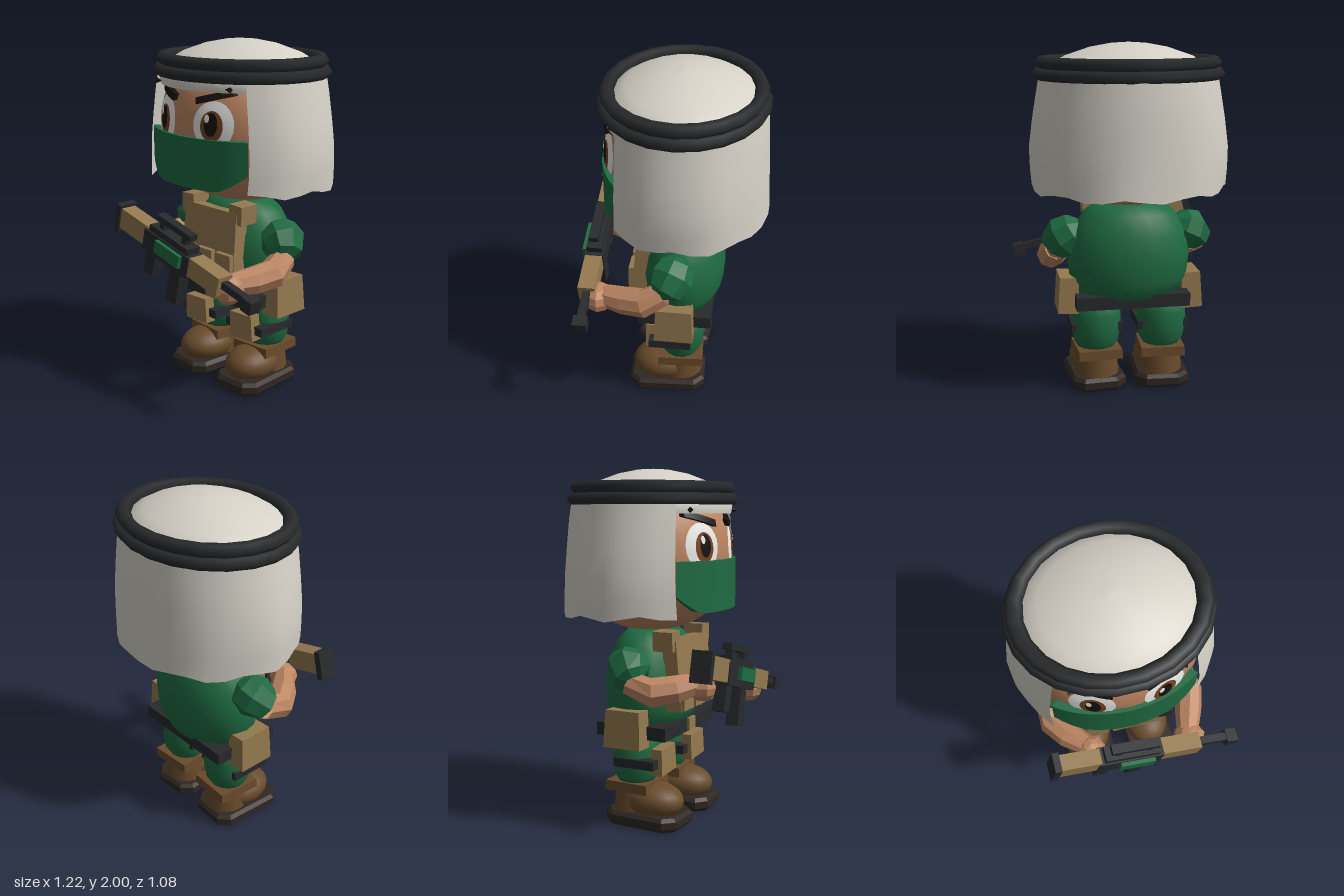
import * as THREE from 'three';
import { toCreasedNormals } from 'three/addons/utils/BufferGeometryUtils.js';

const COL = { cloth: 0xd6d2c8, skin: 0xbd8663, green: 0x1f6b42, dark: 0x27292b, tan: 0x94794f, boot: 0x694b2b, sole: 0x2f2722, white: 0xeeeeea, iris: 0x7a4422, black: 0x15110f };
const CX = -0.045, CZ = -0.05; // centre line of the figure

function mesh(parent, name, geo, color, flat = false, double = false) {
  const material = new THREE.MeshStandardMaterial({ color, flatShading: flat });
  if (double) material.side = THREE.DoubleSide;
  const m = new THREE.Mesh(geo, material);
  m.name = name;
  parent.add(m);
  return m;
}

// Box whose top is scaled by taper
function box(parent, name, color, [w, h, d], [x, y, z], taper = 1) {
  const g = new THREE.BoxGeometry(w, h, d), p = g.attributes.position;
  for (let i = 0; i < p.count; i++) if (p.getY(i) > 0) { p.setX(i, p.getX(i) * taper); p.setZ(i, p.getZ(i) * taper); }
  const m = mesh(parent, name, g, color, true);
  m.position.set(x, y, z);
  return m;
}

function ball(parent, name, color, [rx, ry, rz], [x, y, z], flat = false) {
  const m = mesh(parent, name, new THREE.SphereGeometry(1, flat ? 8 : 20, flat ? 6 : 14), color, flat);
  m.scale.set(rx, ry, rz);
  m.position.set(x, y, z);
  return m;
}

function lathe(parent, name, color, pts, sides, zScale, [x, y, z]) {
  const curve = pts.map(p => new THREE.Vector2(p[0], p[1]));
  const m = mesh(parent, name, new THREE.LatheGeometry(curve, sides), color, false, true);
  m.scale.z = zScale;
  m.position.set(x, y, z);
  return m;
}

// Faceted limb through points [x, y, z, radius]
function limb(parent, name, color, nodes) {
  const path = new THREE.CatmullRomCurve3(nodes.map(n => new THREE.Vector3(n[0], n[1], n[2])));
  const segs = nodes.length - 1, sides = 8;
  const g = new THREE.TubeGeometry(path, segs, 1, sides), p = g.attributes.position, v = new THREE.Vector3();
  for (let i = 0; i < p.count; i++) {
    const k = Math.floor(i / (sides + 1)), c = path.getPointAt(k / segs);
    v.fromBufferAttribute(p, i).sub(c).multiplyScalar(nodes[k][3]).add(c);
    p.setXYZ(i, v.x, v.y, v.z);
  }
  return mesh(parent, name, g, color, true, true);
}

// Open sheet from a function (u, row) -> [x, y, z], with sharp folds kept
function sheet(parent, name, color, nu, nv, f) {
  const g = new THREE.PlaneGeometry(1, 1, nu, nv), p = g.attributes.position;
  for (let i = 0; i < p.count; i++) p.setXYZ(i, ...f(p.getX(i) + 0.5, Math.round((0.5 - p.getY(i)) * nv)));
  return mesh(parent, name, toCreasedNormals(g, 0.8), color, false, true);
}

// Head: rounded profile swept round an ellipse
const HEAD = { y: 1.52, rx: 0.5, ry: 0.43, rz: 0.43 };
const headProfile = t => Math.pow(Math.max(0, 1 - Math.pow(Math.abs(t), 2.3)), 1 / 2.3);
function faceZ(x, y) {
  const r = headProfile((y - HEAD.y) / HEAD.ry), s = (x - CX) / HEAD.rx;
  return CZ + HEAD.rz * Math.sqrt(Math.max(0, r * r - s * s));
}
function onFace(parent, name, color, geo, off) {
  const p = geo.attributes.position;
  for (let i = 0; i < p.count; i++) p.setZ(i, p.getZ(i) + faceZ(p.getX(i), p.getY(i)) + off);
  geo.computeVertexNormals();
  return mesh(parent, name, geo, color, false, true);
}
const oval = (x, y, rx, ry) => new THREE.RingGeometry(0, 1, 24, 4).scale(rx, ry, 1).translate(x, y, 0);

function buildHead(root) {
  const g = new THREE.Group(); g.name = 'head'; root.add(g);
  const pts = [];
  for (let i = 0; i <= 20; i++) {
    const t = -Math.cos(i / 20 * Math.PI);
    pts.push([HEAD.rx * headProfile(t), HEAD.ry * t]);
  }
  lathe(g, 'skull', COL.skin, pts, 28, HEAD.rz / HEAD.rx, [CX, HEAD.y, CZ]);

  for (const s of [-1, 1]) {
    const x = CX + s * 0.19;
    onFace(g, 'eyeWhite', COL.white, oval(x, 1.575, 0.115, 0.128), 0.006);
    onFace(g, 'iris', COL.iris, oval(x, 1.57, 0.064, 0.083), 0.011);
    onFace(g, 'pupil', COL.black, oval(x, 1.58, 0.038, 0.063), 0.015);
    onFace(g, 'eyeGlint', COL.white, oval(x - 0.02, 1.612, 0.014, 0.022), 0.019);
    const brow = new THREE.BoxGeometry(0.2, 0.036, 0.03, 6, 1, 1);
    brow.rotateZ(s * 0.26).translate(CX + s * 0.185, 1.725, 0);
    onFace(g, 'eyebrow', COL.black, brow, 0.012);
    const mark = mesh(g, 'bandMark', new THREE.ConeGeometry(0.016, 0.045, 4), COL.black, true);
    mark.position.set(CX + s * 0.28, 1.77, 0.318);
    mark.rotation.z = s * Math.PI / 2;
  }

  // Face scarf with its edges turned in towards the face
  sheet(g, 'faceScarf', COL.green, 16, 3, (u, v) => {
    const a = (u - 0.5) * 1.5, k = v === 0 || v === 3 ? 0.84 : 1;
    const low = 1.22 + 0.1 * Math.pow(Math.max(0, Math.abs(u - 0.5) * 2 - 0.55) / 0.45, 1.3);
    return [CX + 0.575 * k * Math.sin(a), v < 2 ? 1.5 : low, CZ + 0.45 * k * Math.cos(a)];
  });

  // Headcloth: crown, hanging drape, double cord
  lathe(g, 'clothCrown', COL.cloth, [[0.492, 1.75], [0.5, 1.8], [0.46, 1.87], [0.36, 1.925], [0.22, 1.972], [0.1, 1.994], [0, 2]], 24, 0.88, [CX, 0, CZ]);
  const rows = [[1.84, 0.5, 0.445], [1.72, 0.522, 0.46], [1.57, 0.548, 0.468], [1.42, 0.568, 0.476], [1.3, 0.566, 0.482], [1.2, 0.558, 0.488]];
  sheet(g, 'clothDrape', COL.cloth, 24, 5, (u, v) => {
    const a = 0.8 + u * (2 * Math.PI - 1.6), [y, rx, rz] = rows[v];
    const fold = 1 + 0.012 * (v / 5) * Math.sin(a * 7);
    const hem = v === 5 ? 0.014 * Math.sin(a * 9) + 0.015 * Math.cos(a) : 0;
    return [CX + rx * fold * Math.sin(a), y + hem, CZ + rz * fold * Math.cos(a)];
  });
  for (const [y, r] of [[1.83, 0.498], [1.892, 0.478]]) {
    const ring = new THREE.TorusGeometry(r, 0.046, 6, 22).rotateX(Math.PI / 2).scale(1, 0.78, 0.865);
    mesh(g, 'headCord', ring, COL.dark).position.set(CX, y, CZ);
  }
}

function buildBody(root) {
  const g = new THREE.Group(); g.name = 'body'; root.add(g);
  lathe(g, 'torso', COL.green, [[0, 0.48], [0.18, 0.5], [0.29, 0.56], [0.345, 0.66], [0.36, 0.8], [0.335, 0.93], [0.27, 1.04], [0.19, 1.1], [0, 1.13]], 20, 0.7, [CX, 0, CZ]);
  box(g, 'chestPlate', COL.tan, [0.45, 0.4, 0.09], [CX, 0.86, 0.17], 0.94).rotation.x = -0.1;
  for (const s of [-1, 1]) {
    const strap = box(g, 'shoulderStrap', COL.tan, [0.1, 0.11, 0.12], [CX + s * 0.2, 1.055, 0.13]);
    strap.rotation.z = -s * 0.05;
    const hip = box(g, 'hipPouch', COL.tan, [0.12, 0.21, 0.225], [CX + s * 0.36, 0.575, -0.037], 0.92);
    hip.rotation.z = s * 0.04;
  }
  for (const s of [-1, 0, 1]) box(g, 'chestPouch', COL.tan, [0.13, 0.16, 0.07], [CX + s * 0.155, 0.75, 0.215], 0.94);
  box(g, 'belt', COL.dark, [0.655, 0.075, 0.43], [CX, 0.55, -0.03]);
  box(g, 'buckle', COL.tan, [0.085, 0.07, 0.02], [CX, 0.555, 0.19]);
}

function buildLeg(root, s) {
  const g = new THREE.Group(); g.name = s > 0 ? 'leftLeg' : 'rightLeg';
  g.position.x = CX + s * 0.195;
  root.add(g);
  lathe(g, 'trouserLeg', COL.green, [[0, 0.22], [0.1, 0.23], [0.132, 0.28], [0.146, 0.36], [0.145, 0.45], [0.125, 0.55], [0, 0.58]], 14, 0.94, [0, 0, -0.06]);
  box(g, 'kneeStrap', COL.dark, [0.3, 0.05, 0.25], [0, 0.37, -0.005]);
  const pad = box(g, 'kneePad', COL.tan, [0.185, 0.15, 0.07], [0, 0.38, 0.11], 0.93);
  pad.rotation.z = 0.05;

  // Boot, toes turned slightly out
  const boot = new THREE.Group(); boot.name = 'boot'; boot.rotation.y = s * 0.06; g.add(boot);
  box(boot, 'bootCuff', COL.boot, [0.26, 0.055, 0.27], [0, 0.22, -0.06], 0.98);
  const shaft = mesh(boot, 'bootShaft', new THREE.CylinderGeometry(0.115, 0.13, 0.16, 14), COL.boot);
  shaft.position.set(0, 0.14, -0.065);
  ball(boot, 'bootToe', COL.boot, [0.143, 0.105, 0.18], [0, 0.135, 0.05]);
  const w = 0.14, f = 0.21, c = 0.05;
  const outline = new THREE.Shape([[-w, -f + c], [-w + c, -f], [w - c, -f], [w, -f + c], [w, f - c], [w - c, f], [-w + c, f], [-w, f - c]].map(p => new THREE.Vector2(...p)));
  const sole = new THREE.ExtrudeGeometry(outline, { depth: 0.04, bevelEnabled: true, bevelThickness: 0.02, bevelSize: 0.018, bevelSegments: 1 });
  sole.rotateX(-Math.PI / 2).translate(0, 0.02, 0.02);
  mesh(boot, 'sole', sole, COL.sole, true);
}

function buildArms(root) {
  const g = new THREE.Group(); g.name = 'arms'; root.add(g);
  limb(g, 'leftSleeve', COL.green, [[0.2, 0.98, -0.05, 0.01], [0.26, 0.94, -0.04, 0.11], [0.34, 0.88, -0.01, 0.13], [0.385, 0.82, 0.03, 0.1], [0.38, 0.79, 0.06, 0.01]]);
  limb(g, 'leftForearm', COL.skin, [[0.37, 0.82, 0.02, 0.07], [0.39, 0.76, 0.12, 0.085], [0.36, 0.74, 0.24, 0.08], [0.32, 0.735, 0.37, 0.065]]);
  ball(g, 'leftHand', COL.skin, [0.1, 0.085, 0.085], [0.32, 0.72, 0.4], true);
  limb(g, 'rightSleeve', COL.green, [[-0.29, 0.98, -0.05, 0.01], [-0.35, 0.94, -0.04, 0.11], [-0.43, 0.9, -0.01, 0.125], [-0.465, 0.85, 0.04, 0.1], [-0.46, 0.82, 0.07, 0.01]]);
  limb(g, 'rightForearm', COL.skin, [[-0.455, 0.84, 0.02, 0.07], [-0.46, 0.8, 0.11, 0.085], [-0.39, 0.81, 0.23, 0.08], [-0.29, 0.84, 0.34, 0.06]]);
  ball(g, 'rightHand', COL.skin, [0.085, 0.08, 0.08], [-0.27, 0.82, 0.36], true);
}

// Rifle laid across the chest, built along its own x axis
function buildRifle(root) {
  const g = new THREE.Group(); g.name = 'rifle';
  g.position.set(-0.07, 0.855, 0.46);
  g.rotation.z = -0.244;
  root.add(g);
  box(g, 'receiver', COL.dark, [0.39, 0.125, 0.11], [0, 0, 0]);
  box(g, 'sidePanel', COL.green, [0.21, 0.075, 0.03], [0.035, 0.015, 0.063]);
  box(g, 'stock', COL.tan, [0.25, 0.125, 0.095], [-0.31, 0.015, 0]);
  box(g, 'buttPlate', COL.dark, [0.04, 0.17, 0.115], [-0.445, 0.01, 0]);
  box(g, 'handguard', COL.tan, [0.24, 0.11, 0.1], [0.315, 0.012, 0]);
  box(g, 'barrel', COL.dark, [0.19, 0.04, 0.045], [0.52, 0.02, 0]);
  box(g, 'muzzle', COL.dark, [0.068, 0.072, 0.08], [0.645, 0.012, 0]);
  box(g, 'railBase', COL.dark, [0.33, 0.04, 0.09], [0, 0.08, 0]);
  box(g, 'topRail', COL.dark, [0.29, 0.035, 0.055], [0.005, 0.155, 0]);
  for (const x of [-0.09, 0.1]) box(g, 'railPost', COL.dark, [0.035, 0.06, 0.045], [x, 0.12, 0]);
  box(g, 'magazine', COL.dark, [0.09, 0.22, 0.075], [0.085, -0.165, 0], 0.95);
  box(g, 'grip', COL.dark, [0.075, 0.16, 0.07], [-0.135, -0.125, 0]).rotation.z = -0.06;
}

export function createModel() {
  const root = new THREE.Group();
  root.name = 'soldierFigure';
  buildHead(root);
  buildBody(root);
  buildLeg(root, -1);
  buildLeg(root, 1);
  buildArms(root);
  buildRifle(root);
  return root;
}
